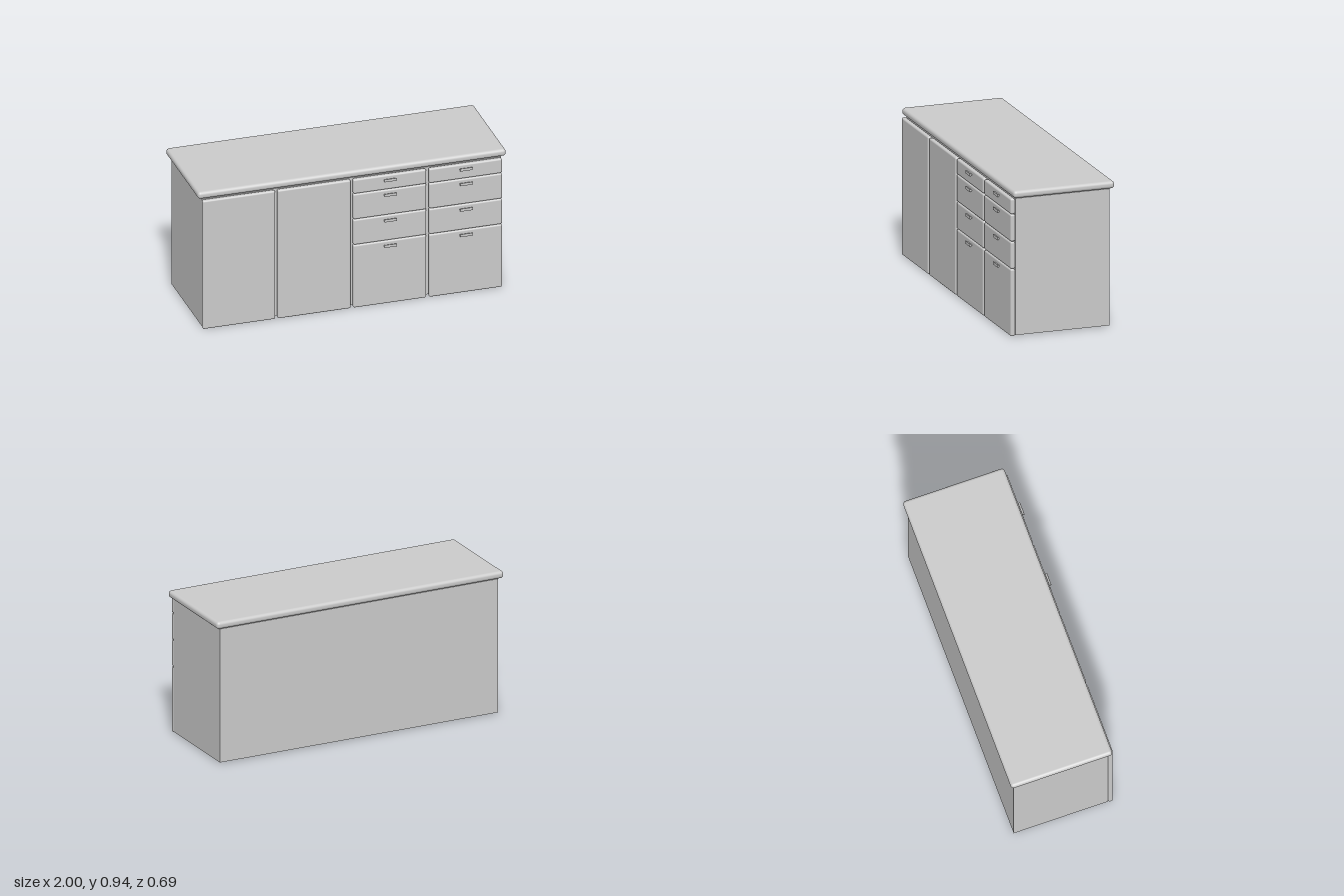
import * as THREE from 'three';
import { RoundedBoxGeometry } from 'three/addons/geometries/RoundedBoxGeometry.js';

const material = new THREE.MeshStandardMaterial({ color: 0xcccccc });

function addMesh(parent, name, geometry, x, y, z) {
  const mesh = new THREE.Mesh(geometry, material);
  mesh.name = name;
  mesh.position.set(x, y, z);
  parent.add(mesh);
  return mesh;
}

// Soft-edged slab given by its limits on each axis
function addSlab(parent, name, [x0, x1], [y0, y1], [z0, z1], radius) {
  const geometry = new RoundedBoxGeometry(x1 - x0, y1 - y0, z1 - z0, 4, radius);
  return addMesh(parent, name, geometry, (x0 + x1) / 2, (y0 + y1) / 2, (z0 + z1) / 2);
}

// Pull with a waisted neck and a wider rounded grip, swept along x
function handleGeometry(length) {
  const s = new THREE.Shape();
  s.moveTo(0, -0.005);
  s.quadraticCurveTo(0.003, -0.002, 0.005, -0.003);
  s.lineTo(0.012, -0.009);
  s.quadraticCurveTo(0.016, -0.011, 0.016, -0.005);
  s.lineTo(0.016, 0.005);
  s.quadraticCurveTo(0.016, 0.011, 0.012, 0.009);
  s.lineTo(0.005, 0.003);
  s.quadraticCurveTo(0.003, 0.002, 0, 0.005);
  s.closePath();
  const g = new THREE.ExtrudeGeometry(s, { depth: length, bevelEnabled: false, curveSegments: 4 });
  g.translate(0, 0, -length / 2);
  g.rotateY(-Math.PI / 2); // profile depth now points to +z
  return g;
}

export function createModel() {
  const group = new THREE.Group();
  group.name = 'kitchenBaseUnit';

  // Carcass and worktop
  addMesh(group, 'carcass', new THREE.BoxGeometry(1.94, 0.88, 0.62), 0, 0.45, -0.01);
  addSlab(group, 'worktop', [-1, 1], [0.896, 0.943], [-0.345, 0.321], 0.02);

  const frontZ = [0.301, 0.332];
  const radius = 0.011;

  // Two plain doors
  for (const x of [[-0.974, -0.502], [-0.487, -0.013]]) {
    addSlab(group, 'door', x, [0.003, 0.888], frontZ, radius);
  }

  // Two drawer stacks, each drawer with a pull near its top edge
  const rows = [[0.003, 0.435], [0.437, 0.611], [0.613, 0.787], [0.789, 0.888]];
  const pull = handleGeometry(0.08);
  for (const x of [[0.004, 0.478], [0.496, 0.97]]) {
    for (const y of rows) {
      const drawer = new THREE.Group();
      drawer.name = 'drawer';
      addSlab(drawer, 'drawerFront', x, y, frontZ, radius);
      addMesh(drawer, 'drawerHandle', pull, (x[0] + x[1]) / 2, y[1] - 0.031, 0.331);
      group.add(drawer);
    }
  }
  return group;
}
